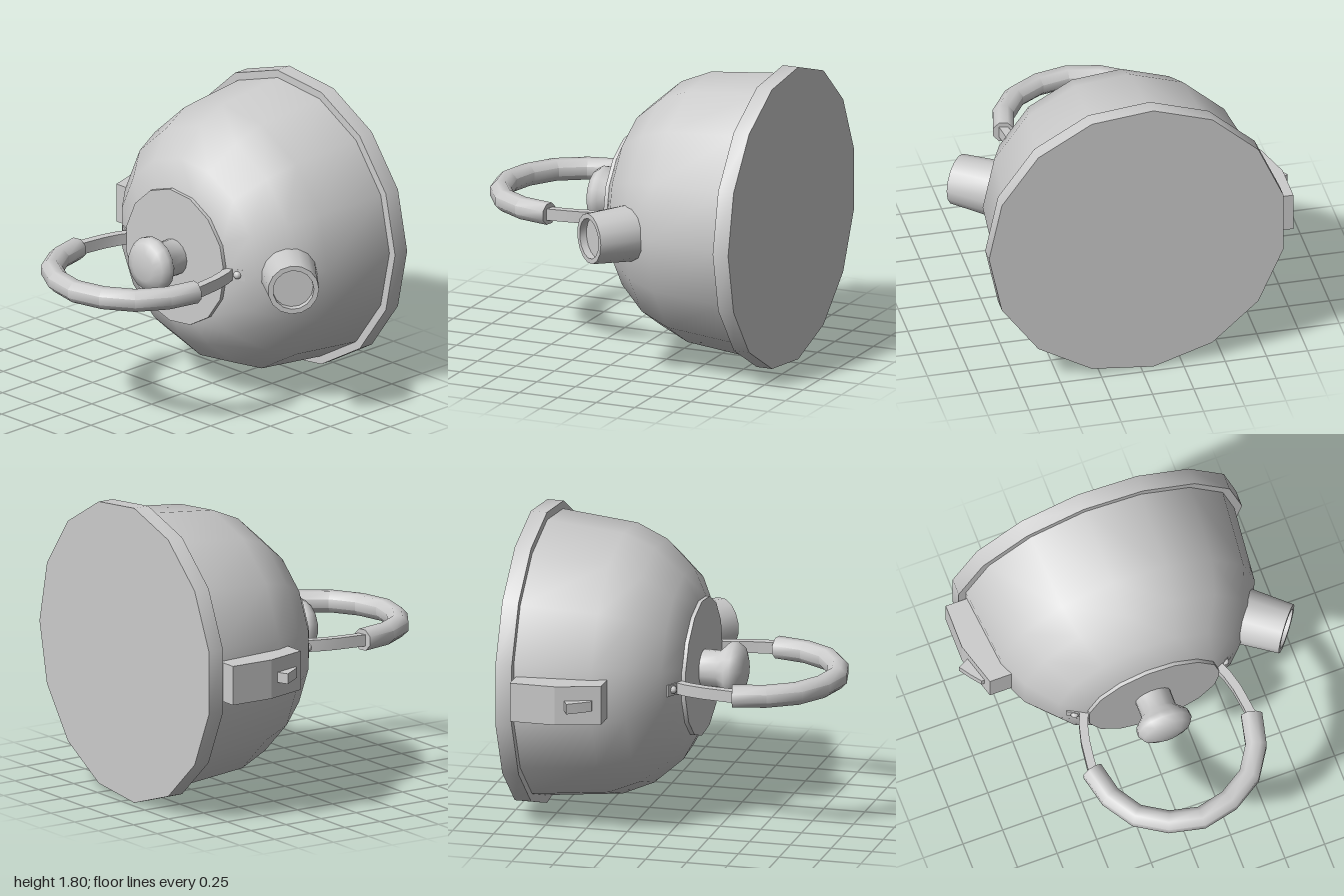
import * as THREE from 'three';
import { toCreasedNormals } from 'three/addons/utils/BufferGeometryUtils.js';

const CX = 0.02, CY = 0.9;
const material = new THREE.MeshStandardMaterial({ color: 0xcccccc });

function part(name, geometry, x = 0, y = 0, z = 0, crease = 0.8) {
  const mesh = new THREE.Mesh(toCreasedNormals(geometry, crease), material);
  mesh.name = name;
  mesh.position.set(x, y, z);
  return mesh;
}

// Turned solid along z from [radius, z] pairs; the first corner points to +x
function turned(profile, sides = 15) {
  const points = profile.map(([r, z]) => new THREE.Vector2(r, z));
  return new THREE.LatheGeometry(points, sides, Math.PI / 2).rotateX(Math.PI / 2);
}

// Outline in x and z, given a height in y below its origin
function slab(outline, height) {
  const shape = new THREE.Shape(outline.map(([x, z]) => new THREE.Vector2(x, z)));
  return new THREE.ExtrudeGeometry(shape, { depth: height, bevelEnabled: false }).rotateX(Math.PI / 2);
}

// Cross-section swept along a horizontal path of [x, z] points
function sweep(section, path, steps) {
  const curve = new THREE.CatmullRomCurve3(path.map(([x, z]) => new THREE.Vector3(x, 0, z)));
  return new THREE.ExtrudeGeometry(section, { steps, extrudePath: curve, bevelEnabled: false });
}

function polygon(corners) {
  return new THREE.Shape(corners.map(([x, y]) => new THREE.Vector2(x, y)));
}

export function createModel() {
  const model = new THREE.Group();
  model.name = 'kettle';

  // Base disc, bowl-shaped body and lid
  model.add(part('base', turned([[0, -0.957], [0.904, -0.957], [0.904, -0.857], [0, -0.857]]), CX, 0.906));
  model.add(part('body', turned([
    [0.857, -0.86], [0.81, -0.395], [0.728, -0.205], [0.573, -0.03], [0.414, 0.055], [0, 0.055],
  ]), CX, 0.906));
  model.add(part('lid', turned([[0, 0.05], [0.417, 0.05], [0.417, 0.078], [0, 0.078]]), CX, CY));

  // Lid knob
  model.add(part('knob', turned([
    [0.11, 0.06], [0.11, 0.18], [0.168, 0.24], [0.17, 0.275], [0.145, 0.315], [0.085, 0.338], [0, 0.34],
  ]), 0.012, 0.897, 0, 1));

  // Tapered spout with a recessed mouth
  const spout = part('spout', turned([
    [0.175, -0.36], [0.152, 0], [0.122, 0], [0.122, -0.045], [0, -0.045],
  ]), 0.9, 0.897, -0.043);
  spout.rotation.y = 0.904;
  model.add(spout);

  // Carrying handle: octagonal grip, two arms, and a bolted plate under each
  const handle = new THREE.Group();
  handle.name = 'handle';
  handle.position.set(0.015, 0.896, 0);
  const octagon = polygon(Array.from({ length: 8 }, (_, i) => {
    const a = (i + 0.5) * Math.PI / 4;
    return [0.068 * Math.cos(a), 0.068 * Math.sin(a)];
  }));
  const half = [[-0.503, 0.39], [-0.458, 0.585], [-0.355, 0.745], [-0.187, 0.85]];
  const gripPath = [...half, [0, 0.892], ...half.map(([x, z]) => [-x, z]).reverse()];
  handle.add(part('grip', sweep(octagon, gripPath, 8)));

  const bar = polygon([[-0.035, -0.026], [0.035, -0.026], [0.035, 0.026], [-0.035, 0.026]]);
  for (const s of [-1, 1]) {
    const side = s > 0 ? 'left' : 'right';
    handle.add(part(side + 'Arm', sweep(bar, [[s * 0.41, 0.01], [s * 0.466, 0.15], [s * 0.505, 0.42]], 4), 0, 0, 0, 0.3));
    const plate = part(side + 'Plate', new THREE.BoxGeometry(0.12, 0.07, 0.025), s * 0.46, 0, 0.017);
    plate.rotation.y = s * 0.486;
    handle.add(plate);
    handle.add(part(side + 'Bolt', new THREE.SphereGeometry(0.025, 8, 6), s * 0.475, 0, 0.02));
  }
  model.add(handle);

  // Switch housing on the side, with its small lever
  model.add(part('switchHousing', slab([
    [-0.95, -0.845], [-0.95, -0.57], [-0.872, -0.308], [-0.7, -0.308], [-0.7, -0.845],
  ], 0.237), 0, 1.012, 0, 0.1));
  model.add(part('switchLever', slab([
    [-1, -0.487], [-0.95, -0.415], [-0.905, -0.358], [-0.872, -0.358], [-0.9, -0.5], [-0.935, -0.517],
  ], 0.062), 0, 0.925, 0, 0.1));

  return model;
}
